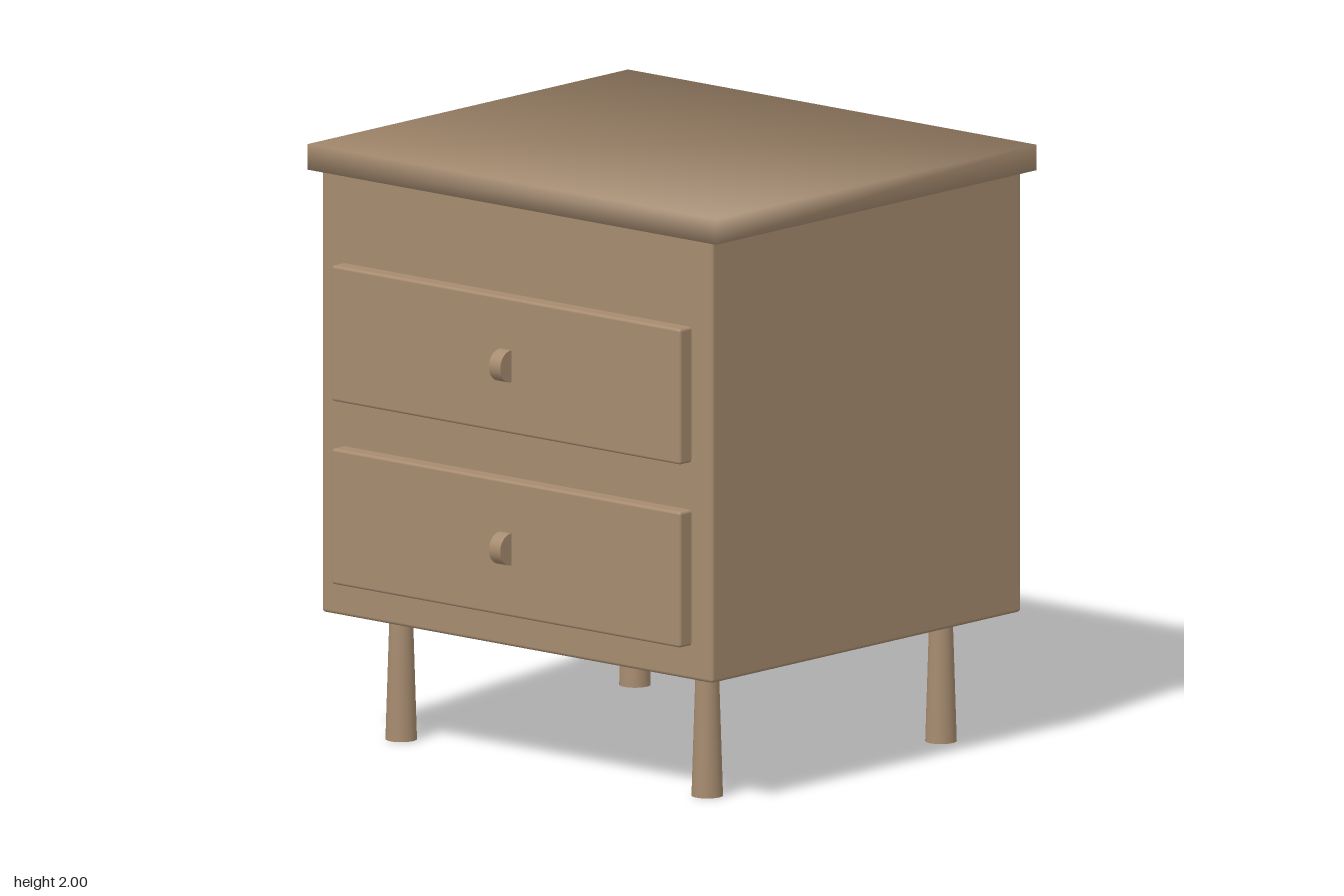
import * as THREE from 'three';
import { RoundedBoxGeometry } from 'three/addons/geometries/RoundedBoxGeometry.js';

export function createModel() {
  const group = new THREE.Group();
  group.name = 'nightstand';
  const wood = new THREE.MeshStandardMaterial({ color: 0xa68b6f });
  wood.name = 'warm brown wood';

  const add = (name, geometry, x, y, z) => {
    const mesh = new THREE.Mesh(geometry, wood);
    mesh.name = name;
    mesh.position.set(x, y, z);
    group.add(mesh);
    return mesh;
  };

  // Cabinet body with slightly eased edges
  add('cabinetBody', new RoundedBoxGeometry(1.72, 1.49, 1.53, 2, 0.012), 0, 1.175, -0.04);

  // Overhanging top slab with corner normals shared between its faces
  const slab = new THREE.BoxGeometry(1.796, 0.086, 1.585);
  const pos = slab.attributes.position;
  const n = new THREE.Vector3();
  for (let i = 0; i < pos.count; i++) {
    n.set(Math.sign(pos.getX(i)), Math.sign(pos.getY(i)), Math.sign(pos.getZ(i))).normalize();
    slab.attributes.normal.setXYZ(i, n.x, n.y, n.z);
  }
  add('topSlab', slab, 0, 1.957, -0.0425);

  // Two drawer fronts, each with a disc-shaped pull
  const drawerGeometry = new RoundedBoxGeometry(1.535, 0.456, 0.075, 2, 0.01);
  const pullGeometry = new THREE.CylinderGeometry(0.054, 0.054, 0.05, 32).rotateZ(Math.PI / 2);
  [['lower', 0.773], ['upper', 1.388]].forEach(([level, y]) => {
    add(level + 'Drawer', drawerGeometry, 0, y, 0.743);
    add(level + 'DrawerPull', pullGeometry, 0, y, 0.781);
  });

  // Four legs, widening towards the floor
  const legGeometry = new THREE.CylinderGeometry(0.038, 0.052, 0.44, 32);
  for (const [end, z] of [['front', 0.54], ['back', -0.616]]) {
    for (const [side, x] of [['Left', 0.673], ['Right', -0.673]]) {
      add(end + side + 'Leg', legGeometry, x, 0.22, z);
    }
  }
  return group;
}
